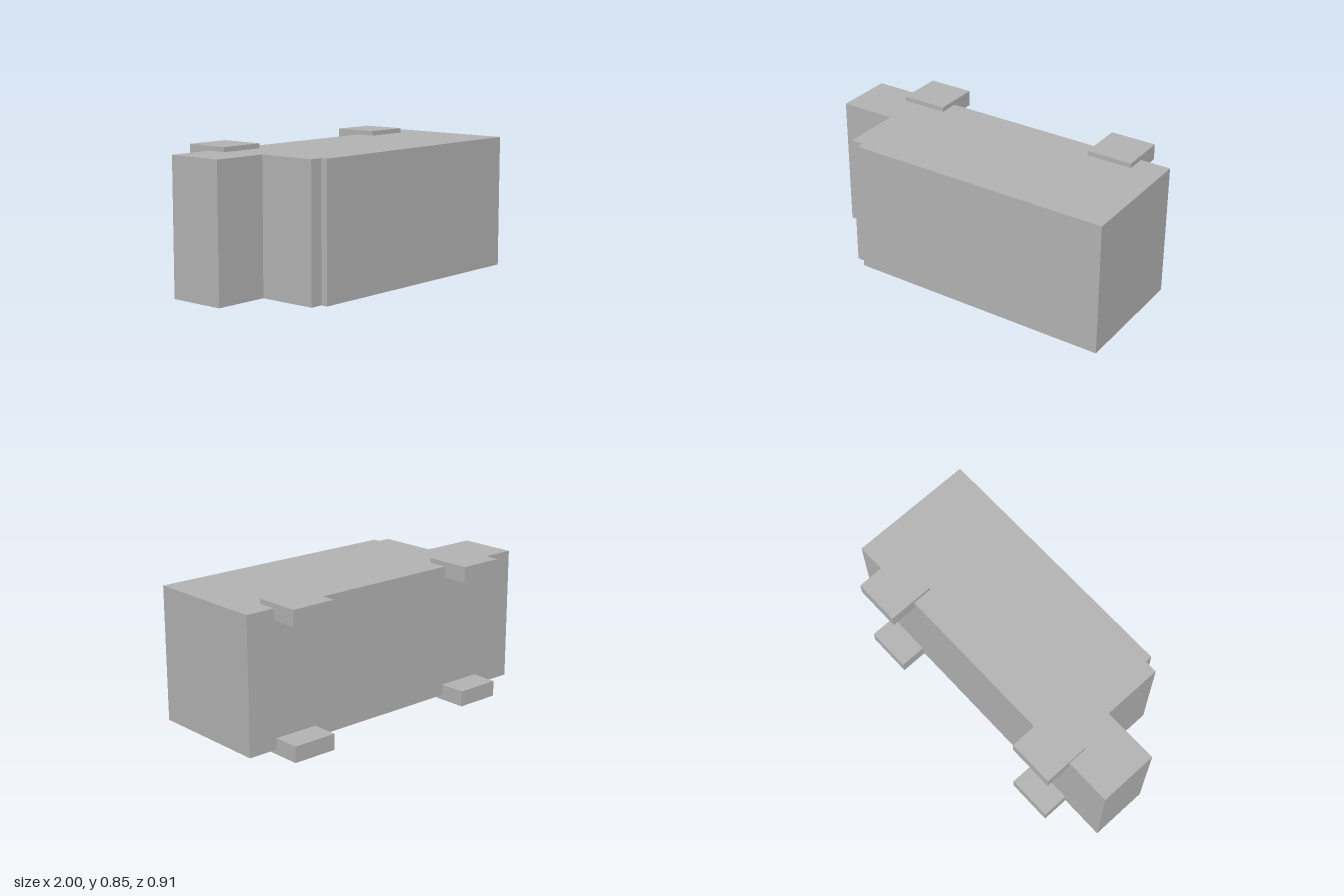
import * as THREE from 'three';

export function createModel() {
  const model = new THREE.Group();
  const grey = new THREE.MeshStandardMaterial({ color: 0xb2b2b2 });
  grey.name = 'grey';

  // Body: stepped floor plan (x, z) raised to full height
  const plan = [
    [-1, 0.055], [-0.664, 0.055], [-0.664, 0.414], [-0.587, 0.414],
    [-0.587, 0.456], [1, 0.456], [1, -0.296], [-1, -0.296],
  ];
  const shape = new THREE.Shape(plan.map(([x, z]) => new THREE.Vector2(x, -z)));
  const bodyGeometry = new THREE.ExtrudeGeometry(shape, { depth: 0.794, bevelEnabled: false });
  bodyGeometry.rotateX(-Math.PI / 2);
  const body = new THREE.Mesh(bodyGeometry, grey);
  body.name = 'body';
  body.position.y = 0.028;
  model.add(body);

  // Four mounting blocks overlapping the rear top and bottom edges
  const blockGeometry = new THREE.BoxGeometry(0.275, 0.094, 0.277);
  for (const [side, x] of [['right', -0.586], ['left', 0.682]]) {
    for (const [level, y] of [['lower', 0.047], ['upper', 0.803]]) {
      const block = new THREE.Mesh(blockGeometry, grey);
      block.name = `${level} ${side} mounting block`;
      block.position.set(x, y, -0.317);
      model.add(block);
    }
  }

  return model;
}
